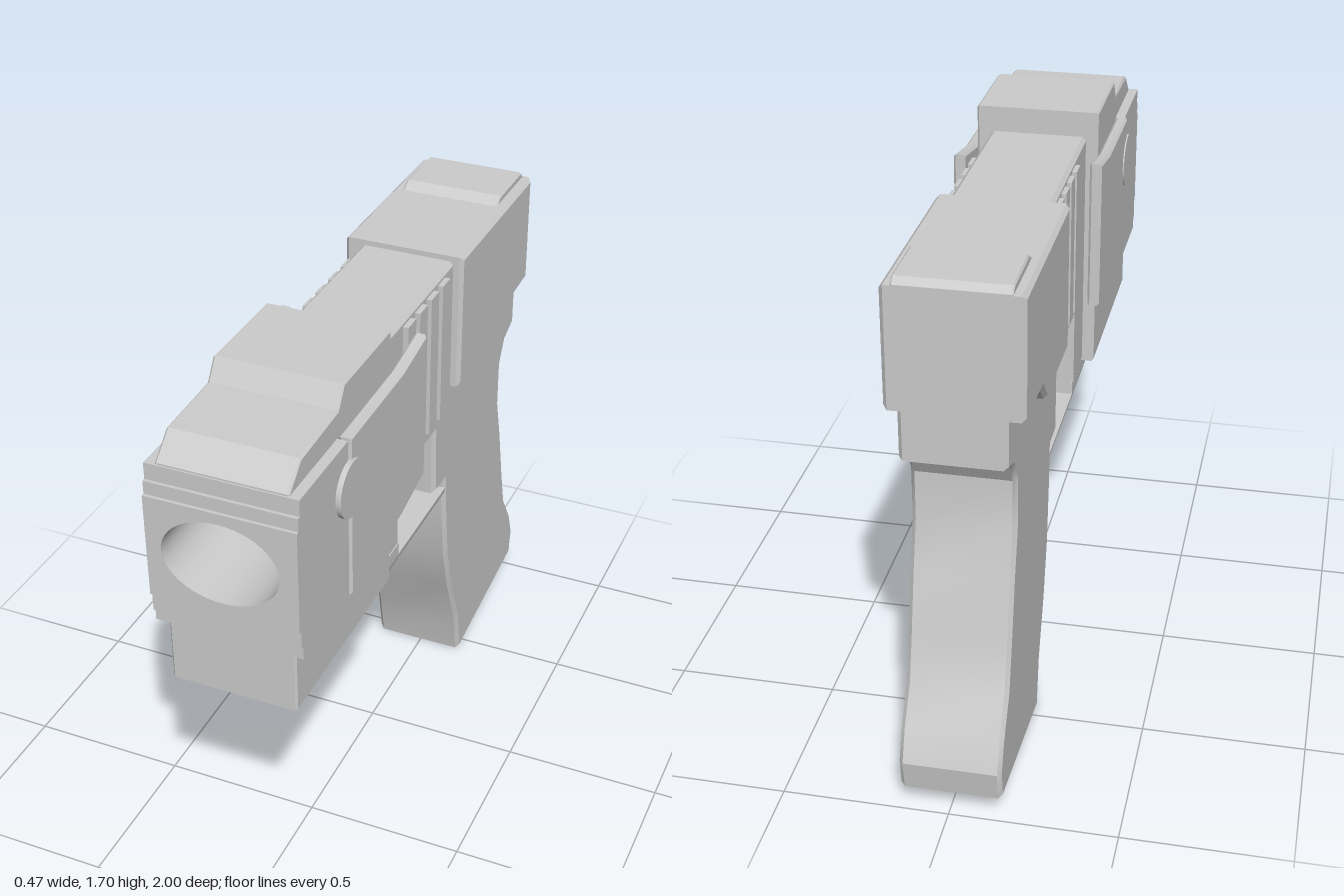
import * as THREE from 'three';
import { toCreasedNormals } from 'three/addons/utils/BufferGeometryUtils.js';

const material = new THREE.MeshStandardMaterial({ color: 0xcccccc });

export function createModel() {
  const model = new THREE.Group();

  function add(name, geometry) {
    const mesh = new THREE.Mesh(toCreasedNormals(geometry, 0.5), material);
    mesh.name = name;
    model.add(mesh);
    return mesh;
  }

  // Side profile of [z, y] points, extruded across x with an optional chamfer
  function slab(name, points, x0, x1, bevel = 0) {
    const shape = new THREE.Shape(points.map(([z, y]) => new THREE.Vector2(z, y)));
    const geometry = new THREE.ExtrudeGeometry(shape, {
      depth: x1 - x0 - 2 * bevel,
      bevelEnabled: bevel > 0,
      bevelSize: bevel, bevelThickness: bevel, bevelOffset: -bevel, bevelSegments: 1,
    });
    geometry.rotateY(-Math.PI / 2);
    geometry.translate(x1 - bevel, 0, 0);
    return add(name, geometry);
  }

  const rect = (z0, z1, y0, y1) => [[z0, y0], [z1, y0], [z1, y1], [z0, y1]];

  // Receiver, trigger block and grip in one silhouette
  slab('frameAndGrip', [
    [0.33, 0.845], [0.33, 1.62], [-0.89, 1.62], [-0.89, 1.11], [-0.81, 1.08], [-0.77, 1.01],
    [-0.77, 0.855], [-0.81, 0.71], [-0.855, 0.51], [-0.89, 0.375], [-0.965, 0.26],
    [-1.0, 0.165], [-0.985, 0.07], [-0.445, 0], [-0.415, 0.165], [-0.34, 0.35],
    [-0.292, 0.52], [-0.268, 0.7], [-0.258, 0.84], [-0.165, 0.845], [-0.157, 1.08],
    [0.135, 1.08], [0.135, 0.845],
  ], -0.157, 0.145, 0.012);

  // Front core: lower block, sloped top cap and raised sight block
  slab('frontCore', [
    [0.965, 0.845], [0.965, 1.07], [0.7, 1.07], [0.7, 1.54], [0.975, 1.54], [0.975, 1.565],
    [0.9, 1.63], [0.67, 1.64], [0.63, 1.7], [0.31, 1.7], [0.31, 0.845],
  ], -0.195, 0.188, 0.006);

  // Nose block and its stepped face plates, all pierced by the oval muzzle
  [
    ['noseBlock', 1.05, 1.56, 0.68, 0.98, 0.222],
    ['noseStep', 1.09, 1.51, 0.98, 0.99, 0.222],
    ['nosePlate', 1.15, 1.47, 0.99, 1.0, 0.222],
  ].forEach(([name, y0, y1, z0, z1, w]) => {
    const shape = new THREE.Shape();
    shape.moveTo(-w - 0.003, y0);
    shape.lineTo(w - 0.003, y0);
    shape.lineTo(w - 0.003, y1);
    shape.lineTo(-w - 0.003, y1);
    shape.closePath();
    const hole = new THREE.Path();
    hole.absellipse(-0.007, 1.31, 0.173, 0.127, 0, Math.PI * 2, true);
    shape.holes.push(hole);
    const geometry = new THREE.ExtrudeGeometry(shape, {
      depth: z1 - z0, bevelEnabled: false, curveSegments: 24,
    });
    geometry.translate(0, 0, z0);
    add(name, geometry);
  });

  // Side panels, round pivot caps and grip ribs on both sides
  const panel = [
    [0.675, 1.05], [0.675, 1.565], [0.31, 1.57], [0.135, 1.6], [0.135, 1.13], [0.31, 1.09],
  ];
  for (const side of [1, -1]) {
    const label = side > 0 ? 'left' : 'right';
    const offset = -0.005;
    const span = (a, b) => (side > 0 ? [a + offset, b + offset] : [-b + offset, -a + offset]);

    slab(label + 'SidePanel', panel, ...span(0.193, 0.23), 0.007);

    const cap = new THREE.CylinderGeometry(0.085, 0.085, 0.04, 40);
    cap.rotateZ(Math.PI / 2);
    cap.translate(side * 0.217 + offset + 0.003, 1.415, 0.68);
    add(label + 'PivotCap', cap);

    for (let i = 0; i < 4; i++) {
      const z = 0.09 - i * 0.091;
      slab(label + 'Rib' + (i + 1), rect(z - 0.03, z + 0.03, 1.135, 1.6), ...span(0.13, 0.167));
    }
  }

  // Half-oval rail under the barrel and trigger opening
  const railShape = new THREE.Shape();
  railShape.moveTo(-0.155, 0.85);
  railShape.lineTo(-0.155, 0.81);
  railShape.absellipse(-0.005, 0.81, 0.15, 0.09, Math.PI, Math.PI * 2, false);
  railShape.lineTo(0.145, 0.85);
  const frontRail = new THREE.ExtrudeGeometry(railShape, {
    depth: 0.515, bevelEnabled: false, curveSegments: 24,
  });
  frontRail.translate(0, 0, 0.135);
  add('frontRail', frontRail);

  const guardShape = new THREE.Shape();
  guardShape.absellipse(-0.005, 0.81, 0.15, 0.09, Math.PI, Math.PI * 2, false);
  const guard = new THREE.ExtrudeGeometry(guardShape, {
    depth: 0.4, bevelEnabled: false, curveSegments: 24,
  });
  guard.translate(0, 0, -0.265);
  add('triggerGuard', guard);

  // Rear cover with its raised top pad
  slab('rearCover', [
    [-0.28, 1.187], [-0.615, 1.19], [-0.68, 1.26], [-0.915, 1.275],
    [-0.915, 1.637], [-0.28, 1.637],
  ], -0.211, 0.176, 0.012);
  slab('rearPad', [
    [-0.66, 1.62], [-0.66, 1.636], [-0.7, 1.658], [-0.895, 1.658], [-0.915, 1.64], [-0.915, 1.62],
  ], -0.177, 0.145, 0.005);

  return model;
}
